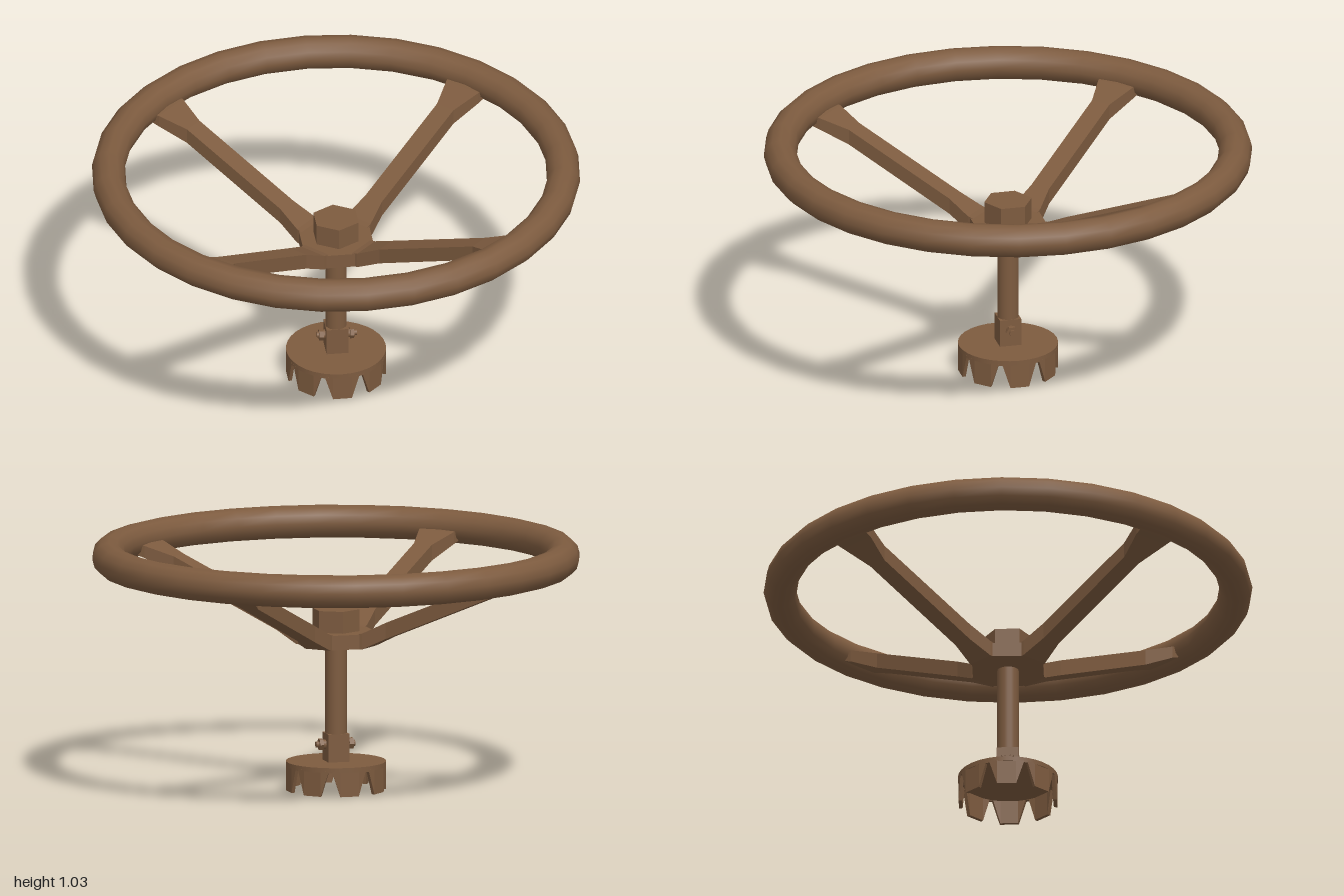
import * as THREE from 'three';

const bronze = new THREE.MeshStandardMaterial({ color: 0x7d5b3f });
bronze.name = 'bronze brown';

// Joins four-cornered cross-sections into a faceted solid; a ring closes on itself.
function loft(sections, ring = false) {
  const pos = [];
  const quad = (a, b, c, d) => pos.push(...a, ...b, ...c, ...a, ...c, ...d);
  const n = sections.length;
  for (let i = 0; i < (ring ? n : n - 1); i++) {
    const s = sections[i], t = sections[(i + 1) % n];
    for (let j = 0; j < 4; j++) {
      const k = (j + 1) % 4;
      quad(s[j], s[k], t[k], t[j]);
    }
  }
  if (!ring) {
    const s = sections[0], e = sections[n - 1];
    quad(s[3], s[2], s[1], s[0]);
    quad(e[0], e[1], e[2], e[3]);
  }
  const g = new THREE.BufferGeometry();
  g.setAttribute('position', new THREE.Float32BufferAttribute(pos, 3));
  g.computeVertexNormals();
  return g;
}

function faceted(geometry) {
  const g = geometry.toNonIndexed();
  g.computeVertexNormals();
  return g;
}

export function createModel() {
  const model = new THREE.Group();
  model.name = 'handWheel';
  const add = (name, geometry, x = 0, y = 0, z = 0, parent = model) => {
    const mesh = new THREE.Mesh(geometry, bronze);
    mesh.name = name;
    mesh.position.set(x, y, z);
    parent.add(mesh);
    return mesh;
  };

  // Rim
  add('rim', new THREE.TorusGeometry(0.932, 0.068, 12, 32).rotateX(Math.PI / 2), 0, 0.965, 0);

  // Hub plate with short sides facing the spokes
  const a = 0.06, b = 0.145;
  const plate = new THREE.Shape([[b, -a], [b, a], [a, b], [-a, b], [-b, a], [-b, -a], [-a, -b], [a, -b]]
    .map(([x, y]) => new THREE.Vector2(x, y)));
  add('hubPlate', new THREE.ExtrudeGeometry(plate, { depth: 0.06, bevelEnabled: false })
    .rotateX(-Math.PI / 2), 0, 0.6, 0);

  // Four rising spokes, flared where they meet the rim: radius, half width, bottom, top
  const spoke = loft([
    [0.13, 0.062, 0.6, 0.66],
    [0.155, 0.06, 0.6, 0.665],
    [0.255, 0.042, 0.648, 0.715],
    [0.735, 0.042, 0.85, 0.915],
    [0.85, 0.081, 0.905, 0.955],
    [0.91, 0.09, 0.925, 0.965],
  ].map(([r, w, lo, hi]) => [[r, lo, -w], [r, hi, -w], [r, hi, w], [r, lo, w]]));
  for (let i = 0; i < 4; i++) {
    add('spoke' + (i + 1), spoke).rotation.y = Math.PI / 4 + i * Math.PI / 2;
  }

  // Hexagonal nut and shaft
  add('topNut', faceted(new THREE.CylinderGeometry(0.1, 0.1, 0.12, 6)), 0, 0.69, 0);
  add('shaft', new THREE.CylinderGeometry(0.044, 0.044, 0.5, 20), 0, 0.36, 0);

  // Square socket with a cross bolt
  const socket = new THREE.Group();
  socket.name = 'socket';
  model.add(socket);
  add('socketBlock', new THREE.BoxGeometry(0.09, 0.12, 0.09), 0, 0.175, 0, socket);
  const rod = (r, length, sides) => new THREE.CylinderGeometry(r, r, length, sides).rotateZ(Math.PI / 2);
  add('crossBolt', rod(0.013, 0.165, 10), 0.003, 0.19, 0, socket);
  add('boltHead', faceted(rod(0.025, 0.016, 6)), 0.065, 0.19, 0, socket);
  add('boltNut', faceted(rod(0.025, 0.018, 6)), -0.062, 0.19, 0, socket);
  for (const s of [-1, 1]) add('washer', rod(0.02, 0.012, 12), s * 0.05, 0.19, 0, socket);

  // Toothed crown: a disc over a hollow ring of eight tapered teeth
  add('crownDisc', new THREE.CylinderGeometry(0.205, 0.205, 0.02, 32, 1, false, Math.PI / 16), 0, 0.11, 0);
  const ring = [];
  for (let i = 0; i < 8; i++) {
    for (const [deg, low] of [[-20, 0.098], [-11, 0], [11, 0], [20, 0.098]]) {
      const t = (i * 45 + deg) * Math.PI / 180;
      const at = (r, y) => [r * Math.sin(t), y, r * Math.cos(t)];
      ring.push([at(0.19, low), at(0.19, 0.105), at(0.205, 0.105), at(0.205, low)]);
    }
  }
  add('crownTeeth', loft(ring, true));

  return model;
}
